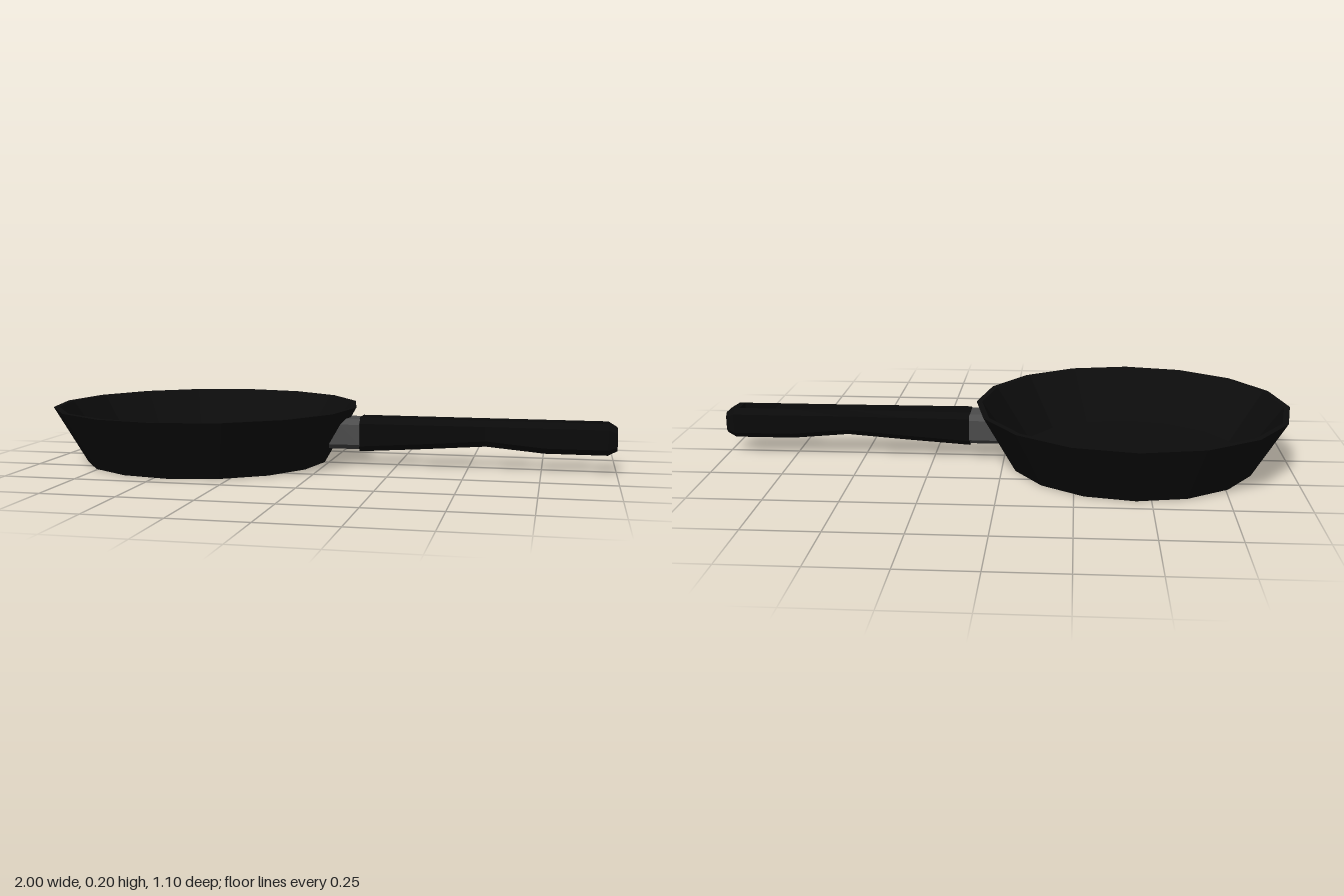
import * as THREE from 'three';

const panBlack = new THREE.MeshStandardMaterial({ color: 0x0c0c0c });
panBlack.name = 'panBlack';
const handleBlack = new THREE.MeshStandardMaterial({ color: 0x0a0a0a });
handleBlack.name = 'handleBlack';
const steelGrey = new THREE.MeshStandardMaterial({ color: 0x4c4c4c });
steelGrey.name = 'steelGrey';

// Chamfered eight-point section; side 0 is the top strip and side 4 the bottom strip
function section(x, y0, y1, w, a, c) {
  return [[y1, -a], [y1, a], [y1 - c, w], [y0 + c, w], [y0, a], [y0, -a], [y0 + c, -w], [y1 - c, -w]]
    .map(([y, z]) => new THREE.Vector3(x, y, z));
}

function pushQuad(out, a, b, c, d) {
  out.push(a, b, c, a, c, d);
}

// Skin a row of sections; between holeAt and the next one a slot goes right through
function loft(sections, holeAt = -1) {
  const out = [];
  for (let s = 0; s < sections.length - 1; s++) {
    const A = sections[s], B = sections[s + 1];
    for (let i = 0; i < 8; i++) {
      if (s === holeAt && i % 4 === 0) continue;
      const j = (i + 1) % 8;
      pushQuad(out, A[i], A[j], B[j], B[i]);
    }
    if (s === holeAt) {
      const top = [A[1], B[1], B[0], A[0]], bottom = [A[4], B[4], B[5], A[5]];
      for (let k = 0; k < 4; k++) {
        const n = (k + 1) % 4;
        pushQuad(out, top[k], top[n], bottom[n], bottom[k]);
      }
    }
  }
  const first = sections[0], last = sections[sections.length - 1];
  for (let i = 1; i < 7; i++) {
    out.push(first[0], first[i + 1], first[i], last[0], last[i], last[i + 1]);
  }
  const geometry = new THREE.BufferGeometry().setFromPoints(out);
  geometry.computeVertexNormals();
  return geometry;
}

function addMesh(group, name, geometry, material) {
  const mesh = new THREE.Mesh(geometry, material);
  mesh.name = name;
  group.add(mesh);
  return mesh;
}

export function createModel() {
  const group = new THREE.Group();
  group.name = 'fryingPan';

  // Sixteen-sided bowl with a thin wall and flat rim
  const profile = [[0, 0], [0.435, 0], [0.55, 0.2], [0.53, 0.2], [0.4, 0.02], [0, 0.02]]
    .map(([r, y]) => new THREE.Vector2(r, y));
  const bowlGeometry = new THREE.LatheGeometry(profile, 16).toNonIndexed();
  bowlGeometry.computeVertexNormals();
  addMesh(group, 'bowl', bowlGeometry, panBlack).position.x = -0.45;

  // Bracket, its inner end following the sloping wall
  const inner = section(0, 0.058, 0.165, 0.07, 0.045, 0.018);
  for (const p of inner) p.x = -0.018 + 0.575 * p.y - 0.2 * Math.abs(p.z);
  const outer = section(0.122, 0.058, 0.165, 0.067, 0.045, 0.018);
  addMesh(group, 'bracket', loft([inner, outer]), steelGrey);

  // Handle: x, underside, top, half width, half width of the flat strip, chamfer
  const stations = [
    [0.12, 0.05, 0.17, 0.06, 0.04, 0.02],
    [0.34, 0.064, 0.17, 0.055, 0.037, 0.02],
    [0.56, 0.08, 0.17, 0.05, 0.035, 0.02],
    [0.76, 0.062, 0.17, 0.052, 0.035, 0.02],
    [0.82, 0.062, 0.17, 0.053, 0.035, 0.02],
    [0.95, 0.062, 0.17, 0.053, 0.035, 0.02],
    [0.97, 0.062, 0.17, 0.053, 0.035, 0.02],
    [1.0, 0.078, 0.152, 0.042, 0.03, 0.014],
  ].map((s) => section(...s));
  addMesh(group, 'handle', loft(stations, 4), handleBlack);

  return group;
}
